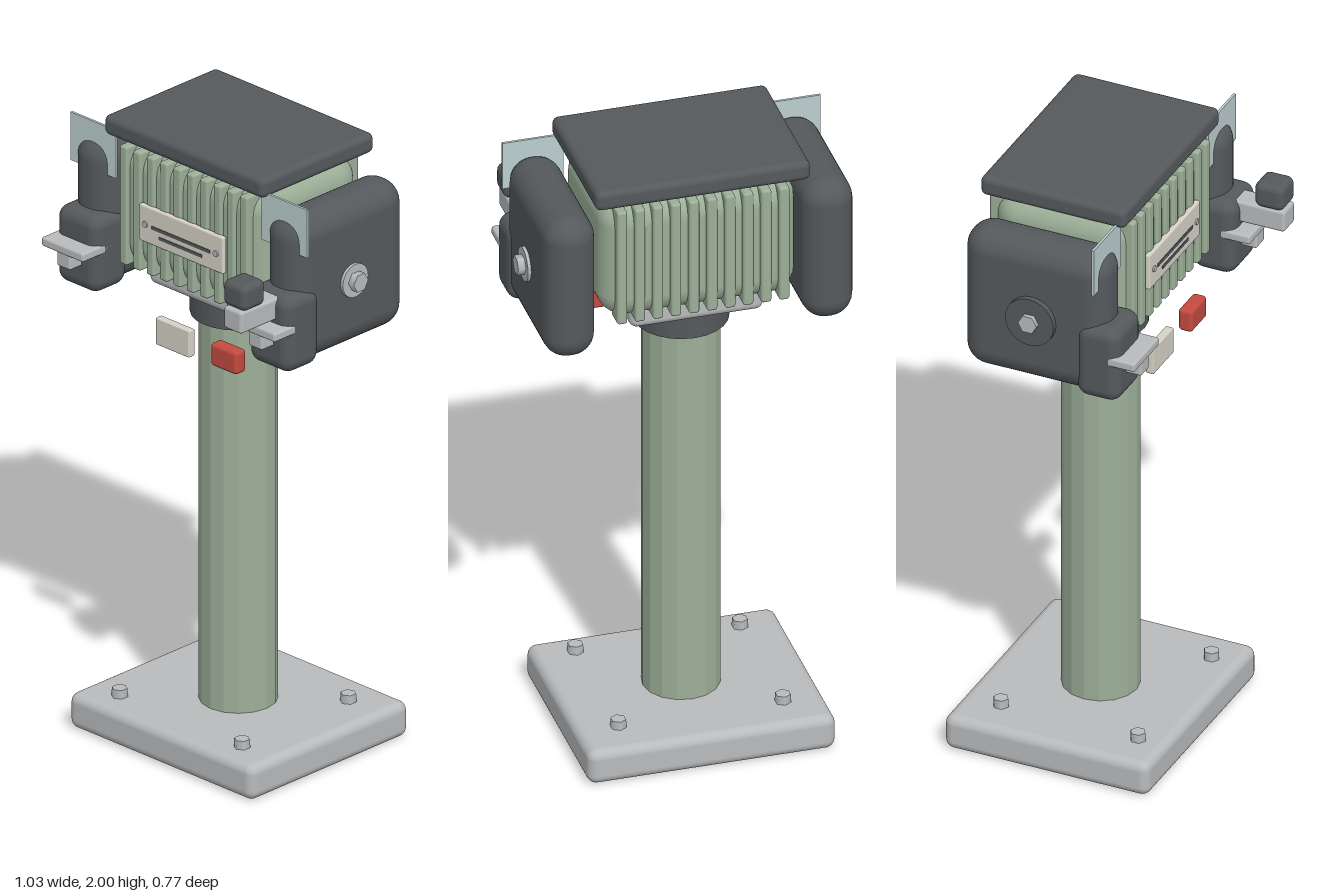
import * as THREE from 'three';
import { RoundedBoxGeometry } from 'three/addons/geometries/RoundedBoxGeometry.js';

const paint = (color) => new THREE.MeshStandardMaterial({ color });
const GREEN = paint(0x9caf98);
const DARK = paint(0x55595c);
const STEEL = paint(0xb8babc);
const CREAM = paint(0xd6d2c6);
const RED = paint(0xc34a40);
const GLASS = paint(0xbccdce);
const GREEN_FLAT = GREEN.clone();
GREEN_FLAT.flatShading = true;
const AXIS_Z = -0.047; // column, motor and shaft share this depth
const SHAFT_Y = 1.645;

export function createModel() {
  const model = new THREE.Group();
  model.name = 'pedestalGrinder';

  const add = (name, geometry, material, x, y, z, parent = model) => {
    const mesh = new THREE.Mesh(geometry, material);
    mesh.name = name;
    mesh.position.set(x, y, z);
    parent.add(mesh);
    return mesh;
  };
  // Box given by its extents on each axis, with rounded edges when r > 0
  const box = (name, material, [x0, x1], [y0, y1], [z0, z1], r = 0, parent = model) => {
    const size = [x1 - x0, y1 - y0, z1 - z0];
    const geometry = r > 0
      ? new RoundedBoxGeometry(...size, 4, r)
      : new THREE.BoxGeometry(...size);
    return add(name, geometry, material, (x0 + x1) / 2, (y0 + y1) / 2, (z0 + z1) / 2, parent);
  };
  // Cylinder lying along x between x0 and x1, centred on the shaft
  const disc = (name, material, x0, x1, radius, sides, parent = model) => {
    const geometry = new THREE.CylinderGeometry(radius, radius, Math.abs(x1 - x0), sides);
    geometry.rotateZ(Math.PI / 2);
    return add(name, geometry, material, (x0 + x1) / 2, SHAFT_Y, AXIS_Z, parent);
  };

  // Floor plate with anchor bolts
  box('basePlate', STEEL, [-0.385, 0.385], [0, 0.115], [-0.386, 0.288], 0.03);
  for (const x of [-0.256, 0.256]) {
    for (const z of [-0.255, 0.197]) {
      add('anchorBolt', new THREE.CylinderGeometry(0.024, 0.026, 0.035, 6), STEEL, x, 0.125, z);
    }
  }

  // Pedestal column, collar and motor cradle
  add('column', new THREE.CylinderGeometry(0.119, 0.119, 1.31, 16), GREEN_FLAT, 0, 0.755, AXIS_Z);
  add('collar', new THREE.CylinderGeometry(0.145, 0.145, 0.09, 24), DARK, 0, 1.432, AXIS_Z);
  box('motorCradle', STEEL, [-0.208, 0.208], [1.468, 1.55], [-0.225, 0.13], 0.025);

  // Motor housing with cooling fins front and back
  box('motorHousing', GREEN, [-0.305, 0.305], [1.525, 1.93], [-0.272, 0.175], 0.08);
  const FINS = 10;
  for (let i = 0; i < FINS; i++) {
    const x = -0.252 + (0.504 * i) / (FINS - 1);
    const half = 0.016;
    box('frontFin', GREEN, [x - half, x + half], [1.532, 1.922], [0.12, 0.188], 0.008);
    box('backFin', GREEN, [x - half, x + half], [1.532, 1.922], [-0.288, -0.22], 0.008);
  }
  box('topTray', DARK, [-0.334, 0.334], [1.935, 2], [-0.29, 0.19], 0.02);

  // Blank data plate with two grooves and rivets
  box('dataPlate', CREAM, [-0.176, 0.176], [1.642, 1.763], [0.18, 0.198], 0.006);
  box('plateGroove', DARK, [-0.122, 0.122], [1.695, 1.706], [0.194, 0.2]);
  box('plateGroove', DARK, [-0.09, 0.09], [1.67, 1.68], [0.194, 0.2]);
  for (const x of [-0.148, 0.148]) {
    const rivet = add('plateRivet', new THREE.CylinderGeometry(0.01, 0.01, 0.01, 10), STEEL, x, 1.703, 0.198);
    rivet.rotation.x = Math.PI / 2;
  }

  // Shaft through the motor into both wheel guards
  disc('shaft', DARK, -0.36, 0.36, 0.09, 24);

  // Matching wheel stations on both sides
  for (const side of [-1, 1]) {
    const station = new THREE.Group();
    station.name = side > 0 ? 'leftWheelStation' : 'rightWheelStation';
    model.add(station);
    const part = (name, material, [a, b], ys, zs, r) =>
      box(name, material, side > 0 ? [a, b] : [-b, -a], ys, zs, r, station);
    part('wheelGuard', DARK, [0.322, 0.481], [1.42, 1.898], [-0.287, 0.19], 0.074);
    part('guardMouth', DARK, [0.314, 0.49], [1.42, 1.672], [0.095, 0.24], 0.04);
    part('toolRest', STEEL, [0.314, 0.489], [1.552, 1.582], [0.13, 0.295], 0.008);
    part('restBracket', STEEL, [0.373, 0.43], [1.505, 1.56], [0.2, 0.29], 0.008);
    part('eyeShield', GLASS, [0.305, 0.495], [1.79, 1.948], [0.156, 0.164]);

    // Outer washer (wider and dark on one side) and hex nut
    if (side > 0) disc('washer', STEEL, 0.47, 0.491, 0.054, 24, station);
    else disc('flange', DARK, -0.47, -0.499, 0.08, 24, station);
    disc('hexNut', STEEL, side * 0.475, side * 0.514, 0.031, 6, station);
  }

  // Dressing attachment on one tool rest
  box('dresserArm', STEEL, [0.363, 0.438], [1.592, 1.664], [0.2, 0.386], 0.01);
  box('dresserKnob', DARK, [0.353, 0.449], [1.664, 1.748], [0.288, 0.384], 0.022);

  // Tag and switch in front of the collar
  box('cautionTag', CREAM, [-0.12, 0.02], [1.312, 1.4], [0.158, 0.184], 0.004);
  box('powerSwitch', RED, [0.12, 0.229], [1.325, 1.4], [0.15, 0.196], 0.012);

  return model;
}
